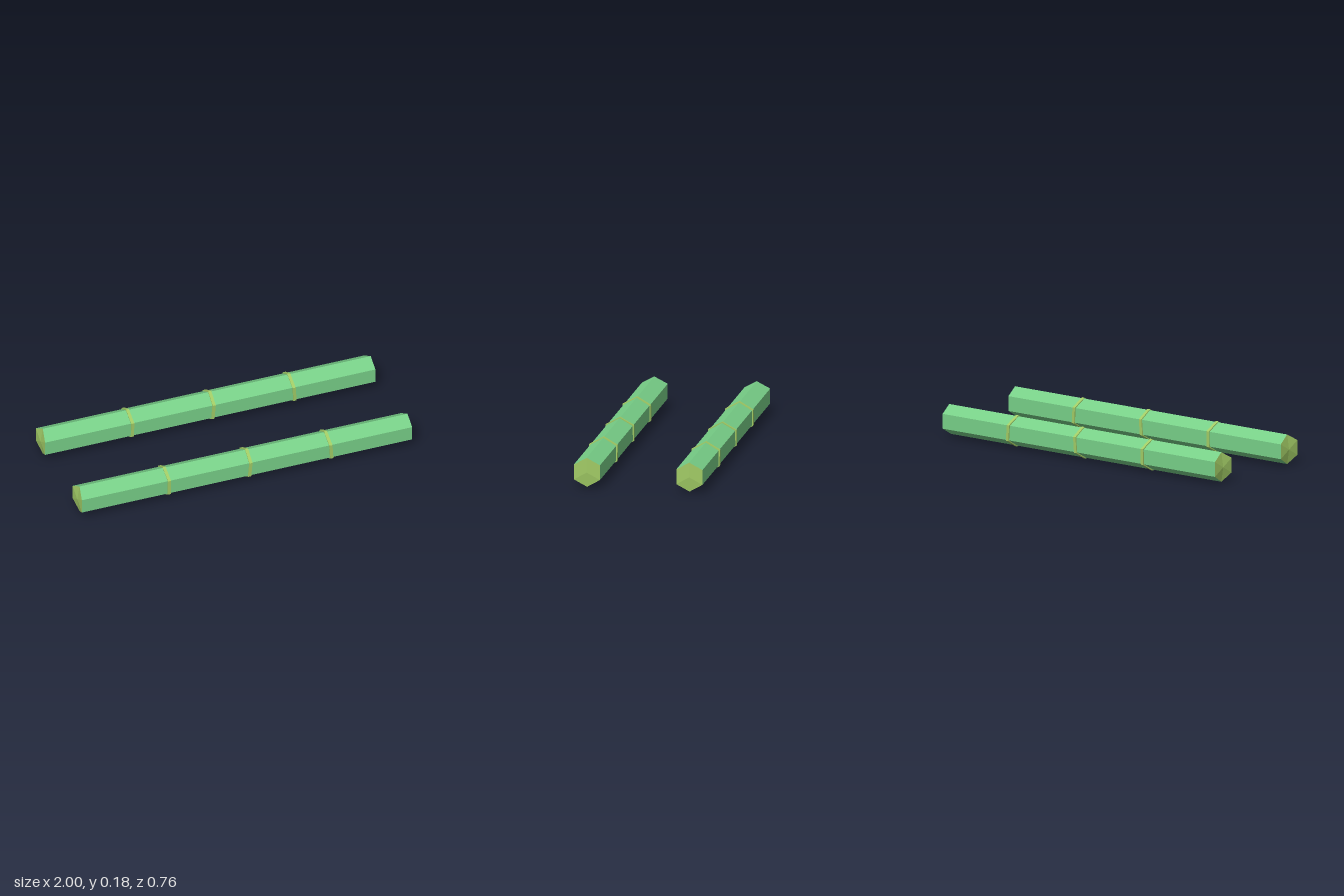
import * as THREE from 'three';

const green = new THREE.MeshStandardMaterial({ color: 0x78d088, flatShading: true });
const olive = new THREE.MeshStandardMaterial({ color: 0xa2cc66, flatShading: true });

// Six-sided prism along x with a corner up; shift(x, y, z) gives the x offset of each vertex.
function hexPrism(radius, length, shift) {
  const geometry = new THREE.CylinderGeometry(radius, radius, length, 6, 1, false, Math.PI / 2);
  geometry.rotateZ(-Math.PI / 2);
  const p = geometry.attributes.position;
  for (let i = 0; i < p.count; i++) {
    p.setX(i, p.getX(i) + shift(p.getX(i), p.getY(i), p.getZ(i)));
  }
  geometry.computeVertexNormals();
  return geometry;
}

// Unevenly cut ends: the -x end is cut back at top and bottom, the +x end at the back and bottom.
function cutEnds(x, y, z) {
  if (x < 0) return Math.abs(y) > 0.06 ? 0.014 : 0;
  return z < -0.04 || y < -0.06 ? -0.012 : 0;
}

// Joint rings: x at the top, middle and bottom.
const joints = [
  [-0.474, -0.468, -0.478],
  [0.025, 0.019, 0.01],
  [0.503, 0.509, 0.514],
];

function createStalk(name) {
  const stalk = new THREE.Group();
  stalk.name = name;

  // Stem, with green sides and olive cut ends
  const stem = new THREE.Mesh(hexPrism(0.086, 2, cutEnds), [green, olive, olive]);
  stem.name = 'stem';
  stalk.add(stem);

  // Slightly crooked joint rings
  joints.forEach(([top, middle, bottom], i) => {
    const r = 0.0915;
    const geometry = hexPrism(r, 0.018, (x, y) => {
      const end = y > 0 ? top : bottom;
      return middle + (end - middle) * Math.abs(y) / r;
    });
    geometry.scale(1, 1, 1.03);
    const ring = new THREE.Mesh(geometry, olive);
    ring.name = `jointRing${i + 1}`;
    stalk.add(ring);
  });
  return stalk;
}

export function createModel() {
  const model = new THREE.Group();
  model.name = 'stalkPair';
  for (const [name, z] of [['frontStalk', 0.296], ['backStalk', -0.296]]) {
    const stalk = createStalk(name);
    stalk.position.set(0, 0.0915, z);
    model.add(stalk);
  }
  return model;
}
